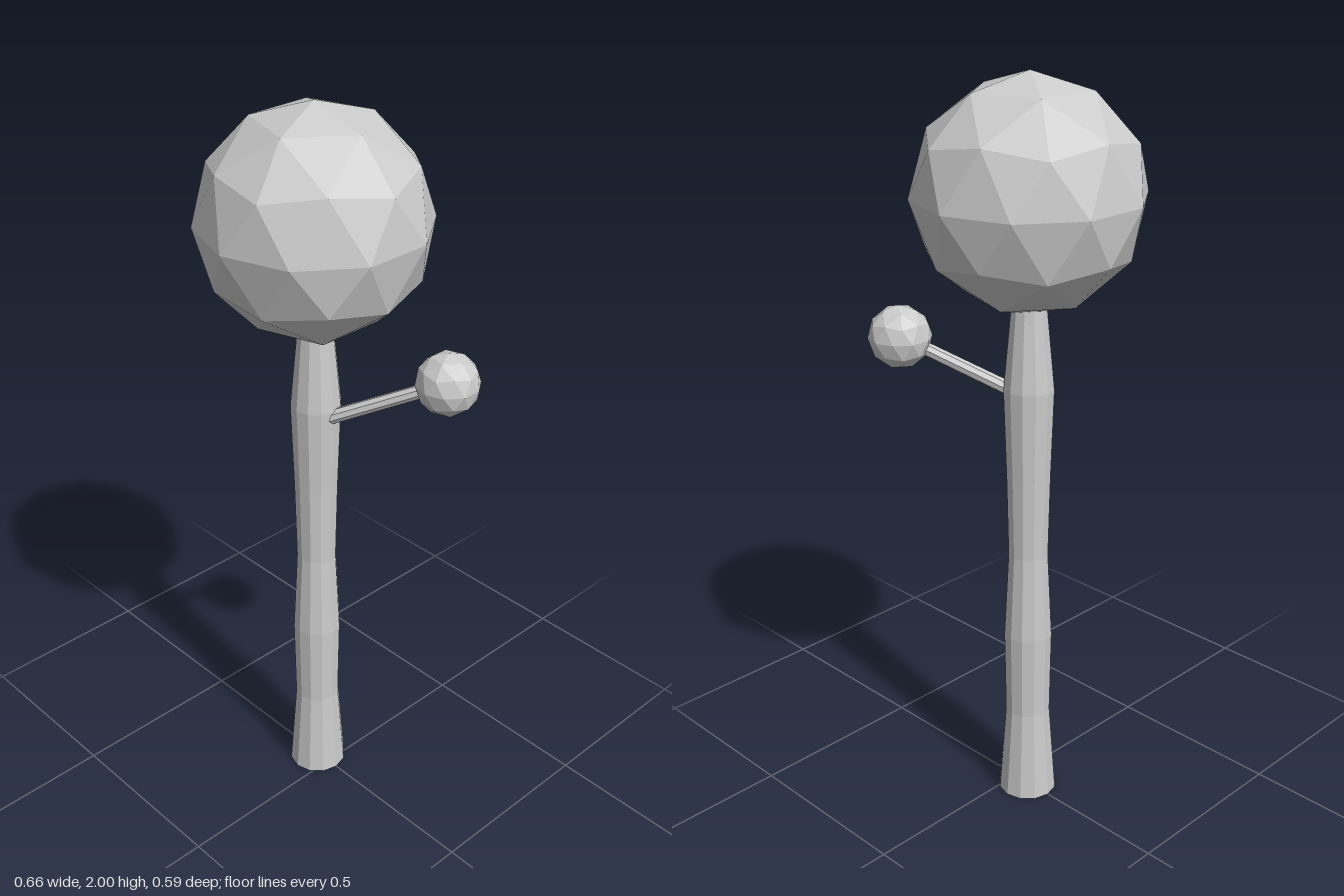
import * as THREE from 'three';

const material = new THREE.MeshStandardMaterial({ color: 0xcccccc, flatShading: true });

function part(name, geometry) {
  const mesh = new THREE.Mesh(geometry, material);
  mesh.name = name;
  return mesh;
}

// Faceted ball turned so that one corner points straight up
function foliage(name, radius, x, y, z) {
  const geometry = new THREE.IcosahedronGeometry(radius, 1);
  geometry.rotateZ(-Math.atan(2 / (1 + Math.sqrt(5))));
  const mesh = part(name, geometry);
  mesh.position.set(x, y, z);
  return mesh;
}

export function createModel() {
  const tree = new THREE.Group();
  tree.name = 'tree';
  const trunkX = -0.048;

  // Trunk: flared foot, slight waist, narrowing into the crown
  const profile = [
    [0, 0], [0.081, 0], [0.062, 0.26], [0.066, 0.5], [0.054, 0.74],
    [0.059, 0.97], [0.067, 1.21], [0.046, 1.43], [0.04, 1.5], [0, 1.5],
  ].map(([r, y]) => new THREE.Vector2(r, y));
  const trunk = part('trunk', new THREE.LatheGeometry(profile, 12));
  trunk.position.x = trunkX;
  tree.add(trunk);

  // Crown and the small tuft at the end of the branch
  tree.add(foliage('crown', 0.295, trunkX, 1.705, 0));
  const tuft = foliage('branchTuft', 0.084, 0.247, 1.319, -0.172);
  tree.add(tuft);

  // Branch from the trunk to the tuft
  const start = new THREE.Vector3(0, 1.186, 0);
  const direction = tuft.position.clone().sub(start);
  const branch = part('branch', new THREE.CylinderGeometry(0.018, 0.019, direction.length(), 8));
  branch.position.copy(start).addScaledVector(direction, 0.5);
  branch.quaternion.setFromUnitVectors(new THREE.Vector3(0, 1, 0), direction.normalize());
  tree.add(branch);

  return tree;
}
